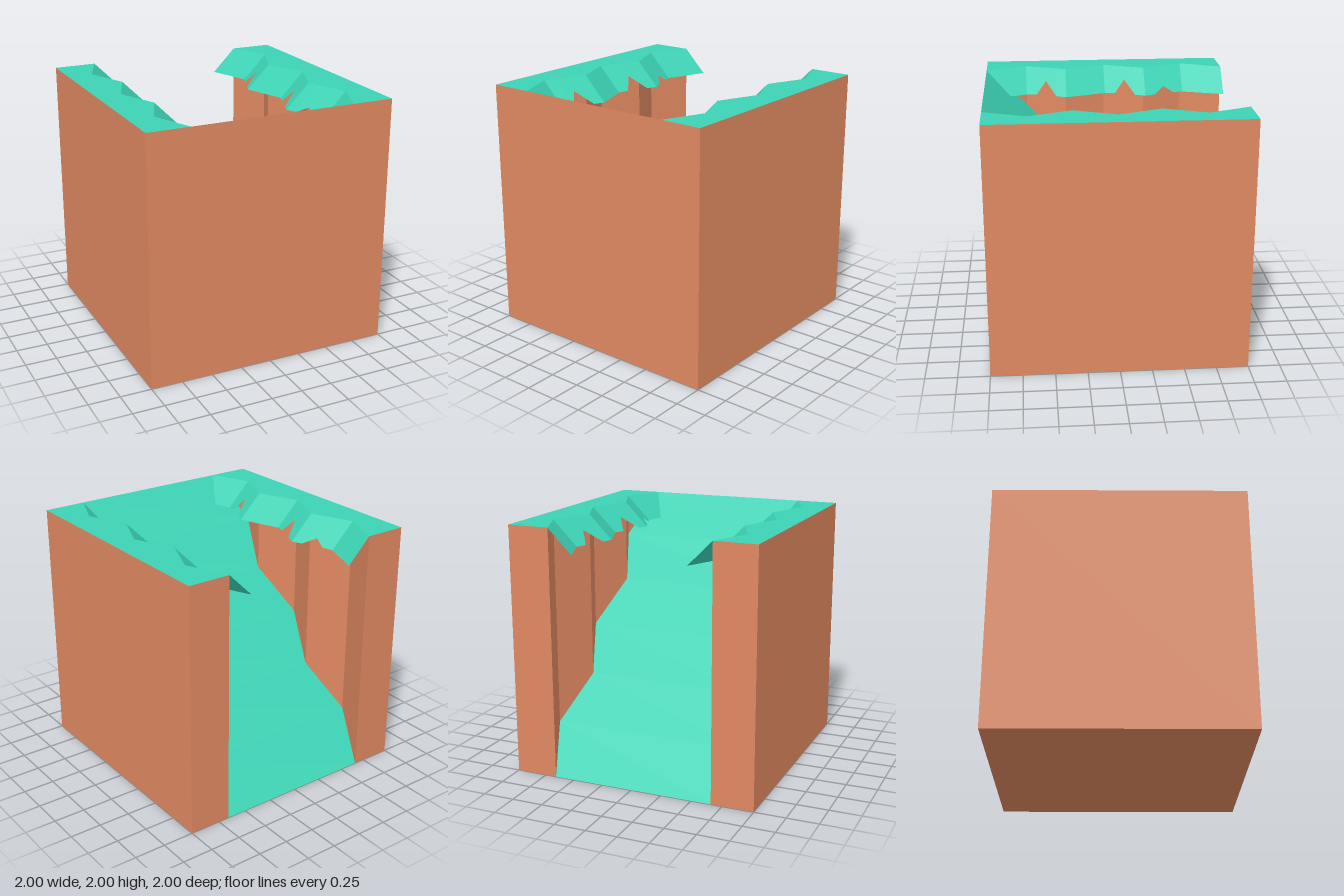
import * as THREE from 'three';

const dirt = new THREE.MeshStandardMaterial({ color: 0xe08961 });
dirt.name = 'dirt';
const grass = new THREE.MeshStandardMaterial({ color: 0x3cd2b4, side: THREE.DoubleSide });
grass.name = 'grass';

const H = 2;
const NEAR = 0.66, FAR = 0.8;
const STEPS = 6;

// Zigzag cliff line: half width of the ramp at z, swinging between NEAR and FAR
const stationZ = (i) => -1 + (2 * i) / STEPS;
const lip = (z) => {
  const t = ((z + 1) * STEPS) / 2;
  return NEAR + (FAR - NEAR) * (1 - Math.abs((t % 2) - 1));
};
const rampY = (z) => z + 1;

// Flat-shaded mesh from convex faces; side -1 mirrors the faces across x
function faceMesh(name, material, faces, side = 1) {
  const pos = [];
  const a = new THREE.Vector3(), b = new THREE.Vector3(), c = new THREE.Vector3();
  for (const face of faces) {
    const pts = face.map(([x, y, z]) => [x * side, y, z]);
    if (side < 0) pts.reverse();
    for (let i = 1; i < pts.length - 1; i++) {
      a.fromArray(pts[0]);
      b.fromArray(pts[i]);
      c.fromArray(pts[i + 1]);
      if (new THREE.Triangle(a, b, c).getArea() > 1e-6) pos.push(...pts[0], ...pts[i], ...pts[i + 1]);
    }
  }
  const geometry = new THREE.BufferGeometry();
  geometry.setAttribute('position', new THREE.Float32BufferAttribute(pos, 3));
  geometry.computeVertexNormals();
  const mesh = new THREE.Mesh(geometry, material);
  mesh.name = name;
  return mesh;
}

// Ragged lower edge of the grass overhang as [z, half width]
const T = 1 / 3;
const leftEdge = [
  [-1, 0.465], [-2 * T, 0.6], [-0.583, 0.565], [-0.5, 0.63], [-0.417, 0.5], [-T, 0.465],
  [0, 0.6], [0.083, 0.565], [0.167, 0.63], [0.25, 0.5], [T, 0.465], [0.417, 0.5],
  [0.5, 0.58], [0.583, 0.565], [2 * T, 0.6], [0.8, 0.545], [1, NEAR],
];
const rightEdge = [
  [-1, 0.465], [-2 * T, 0.6], [-0.583, 0.57], [-0.5, 0.585], [-0.417, 0.5], [-T, 0.465],
  [-0.25, 0.5], [-0.167, 0.635], [-0.083, 0.57], [0, 0.6], [T, 0.465], [0.417, 0.5],
  [0.5, 0.635], [0.583, 0.57], [2 * T, 0.6], [0.8, 0.545], [1, NEAR],
];

function cliffSide(name, side, edge) {
  const group = new THREE.Group();
  group.name = name;

  // Inner zigzag wall and flat grass top, one strip per zigzag step
  const wall = [], top = [];
  for (let i = 0; i < STEPS; i++) {
    const z0 = stationZ(i), z1 = stationZ(i + 1);
    const x0 = lip(z0), x1 = lip(z1);
    wall.push([[x0, rampY(z0), z0], [x1, rampY(z1), z1], [x1, H, z1], [x0, H, z0]]);
    top.push([[x0, H, z0], [x1, H, z1], [1, H, z1], [1, H, z0]]);
  }

  // Outer side and narrow back end
  const outer = [
    [[1, 0, -1], [1, H, -1], [1, H, 1], [1, 0, 1]],
    [[NEAR, 0, -1], [NEAR, H, -1], [1, H, -1], [1, 0, -1]],
  ];

  // Grass overhang sloping inward at 45 degrees from the cliff line
  const overhang = [];
  const lipPoint = (z) => [lip(z), H, z];
  const edgePoint = ([z, x]) => [x, H - (lip(z) - x), z];
  for (let i = 0; i < edge.length - 1; i++) {
    const p = edge[i], q = edge[i + 1];
    overhang.push([lipPoint(p[0]), edgePoint(p), edgePoint(q), lipPoint(q[0])]);
  }

  group.add(
    faceMesh('innerWall', dirt, wall, side),
    faceMesh('outerWall', dirt, outer, side),
    faceMesh('grassTop', grass, top, side),
    faceMesh('grassOverhang', grass, overhang, side),
  );
  return group;
}

export function createModel() {
  const model = new THREE.Group();
  model.name = 'cliffRamp';

  model.add(cliffSide('leftCliff', 1, leftEdge), cliffSide('rightCliff', -1, rightEdge));

  // Grass ramp rising from the back to the front
  const ramp = [];
  for (let i = 0; i < STEPS; i++) {
    const z0 = stationZ(i), z1 = stationZ(i + 1);
    const x0 = lip(z0), x1 = lip(z1);
    ramp.push([[-x0, rampY(z0), z0], [-x1, rampY(z1), z1], [x1, rampY(z1), z1], [x0, rampY(z0), z0]]);
  }
  model.add(faceMesh('ramp', grass, ramp));

  // Full-height front face and underside
  model.add(faceMesh('frontWall', dirt, [[[-1, 0, 1], [1, 0, 1], [1, H, 1], [-1, H, 1]]]));
  model.add(faceMesh('underside', dirt, [[[-1, 0, -1], [1, 0, -1], [1, 0, 1], [-1, 0, 1]]]));

  return model;
}
